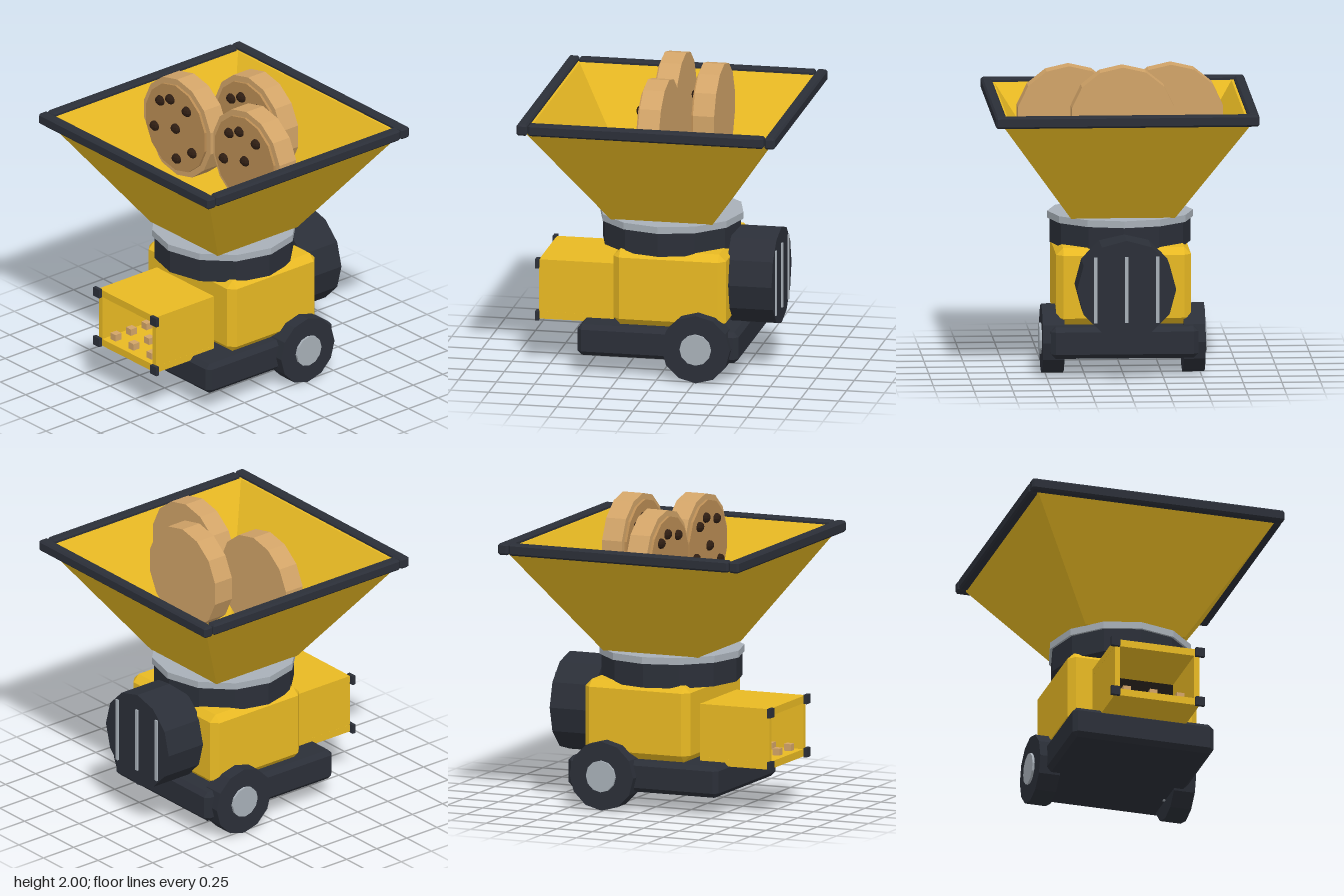
import * as THREE from 'three';
import { ConvexGeometry } from 'three/addons/geometries/ConvexGeometry.js';

const mat = (color) => new THREE.MeshStandardMaterial({ color, flatShading: true });
const YELLOW = mat(0xe8b923), DARK = mat(0x2b2f38), BLACK = mat(0x1a1512), STEEL = mat(0xa8b0b8);
const COOKIE = mat(0xd2a468), BAKED = mat(0xbb8d54), CHOCOLATE = mat(0x2e1d12);

function add(parent, name, geometry, material, x = 0, y = 0, z = 0) {
  const mesh = new THREE.Mesh(geometry, material);
  mesh.name = name;
  mesh.position.set(x, y, z);
  parent.add(mesh);
  return mesh;
}

function group(parent, name, x = 0, y = 0, z = 0) {
  const g = new THREE.Group();
  g.name = name;
  g.position.set(x, y, z);
  parent.add(g);
  return g;
}

const box = (w, h, d) => new THREE.BoxGeometry(w, h, d);
const disc = (r, h, sides = 12) => new THREE.CylinderGeometry(r, r, h, sides);

// Box with a flat chamfer on every edge
function chamferBox(w, h, d, c) {
  const points = [];
  for (const i of [-0.5, 0.5]) for (const j of [-0.5, 0.5]) for (const k of [-0.5, 0.5]) {
    for (const keep of [0, 1, 2]) {
      const inset = (axis, s) => (axis === keep ? 0 : 2 * s * c);
      points.push(new THREE.Vector3(w * i - inset(0, i), h * j - inset(1, j), d * k - inset(2, k)));
    }
  }
  return new ConvexGeometry(points);
}

function addHopper(model) {
  const hopper = group(model, 'hopper');
  // Square funnel with thick walls
  const profile = [[0.3, 1.02], [0.335, 1.015], [0.797, 1.69], [0.797, 1.735], [0.765, 1.735], [0.3, 1.02]]
    .map(([r, y]) => new THREE.Vector2(r * Math.SQRT2, y));
  add(hopper, 'funnel', new THREE.LatheGeometry(profile, 4, Math.PI / 4), YELLOW);
  // Rim bars
  for (const s of [-1, 1]) {
    add(hopper, 'rimBar', chamferBox(1.7, 0.075, 0.07, 0.012), DARK, 0, 1.723, s * 0.815);
    add(hopper, 'rimBar', chamferBox(0.07, 0.075, 1.55, 0.012), DARK, s * 0.815, 1.723, 0);
  }
}

function addCookie(parent, x, y, z) {
  const cookie = group(parent, 'cookie', x, y, z);
  add(cookie, 'biscuit', disc(0.34, 0.14, 14).rotateX(Math.PI / 2), COOKIE);
  add(cookie, 'bakedFace', disc(0.3, 0.03, 14).rotateX(Math.PI / 2), BAKED, 0, 0, 0.072);
  const chips = [[-0.045, 0.19], [0.12, 0.16], [-0.145, 0.145], [-0.2, -0.055], [0.01, 0], [0.175, -0.115], [0.02, -0.21]];
  for (const [cx, cy] of chips) {
    const chip = add(cookie, 'chocolateChip', new THREE.SphereGeometry(0.04, 8, 6), CHOCOLATE, cx, cy, 0.09);
    chip.scale.set(1, 0.85, 0.8);
  }
}

function addChute(model) {
  const chute = group(model, 'outletChute', 0, 0.508, 0.57);
  for (const s of [-1, 1]) {
    add(chute, 'chutePlate', box(0.57, 0.048, 0.49), YELLOW, 0, s * 0.174, 0);
    add(chute, 'chuteSide', box(0.035, 0.3, 0.49), YELLOW, s * 0.267, 0, 0);
    for (const t of [-1, 1]) {
      add(chute, 'cornerBlock', box(0.06, 0.06, 0.025), DARK, s * 0.285, t * 0.174, 0.255);
    }
  }
  add(chute, 'chuteBack', box(0.5, 0.3, 0.02), BLACK, 0, 0, -0.23);
  // Crumbs lying on the chute floor
  for (const x of [-0.19, -0.01, 0.17]) for (const z of [-0.08, 0.05, 0.18]) {
    add(chute, 'crumb', box(0.05, 0.045, 0.05), COOKIE, x, -0.127, z);
  }
}

export function createModel() {
  const model = new THREE.Group();
  model.name = 'cookieGrinder';

  // Chassis and body
  add(model, 'chassis', chamferBox(0.95, 0.205, 1.06, 0.03), DARK, 0, 0.232, 0);
  add(model, 'body', chamferBox(0.87, 0.5, 0.74, 0.045), YELLOW, 0, 0.585, -0.065);

  // Neck between body and hopper
  add(model, 'neckRing', disc(0.455, 0.16), DARK, 0, 0.895, 0);
  add(model, 'collar', disc(0.47, 0.045), STEEL, 0, 0.995, 0);
  add(model, 'throat', disc(0.305, 0.015), BLACK, 0, 1.023, 0);

  addHopper(model);
  addCookie(model, -0.33, 1.625, 0.045);
  addCookie(model, 0.33, 1.625, 0.02);
  addCookie(model, 0, 1.66, -0.275);
  addChute(model);

  // Rear motor with vent bars
  const motor = group(model, 'motor', 0, 0.61, -0.57);
  add(motor, 'motorDrum', disc(0.32, 0.3).rotateX(Math.PI / 2), DARK);
  for (const x of [-0.2, 0, 0.2]) add(motor, 'ventBar', box(0.022, 0.43, 0.02), STEEL, x, 0, -0.15);

  // Wheels with hubs
  for (const s of [-1, 1]) {
    const wheel = group(model, 'wheel', s * 0.455, 0.228, -0.263);
    add(wheel, 'tyre', disc(0.225, 0.14).rotateZ(Math.PI / 2), DARK);
    add(wheel, 'hub', disc(0.103, 0.17).rotateZ(Math.PI / 2), STEEL);
  }
  return model;
}
